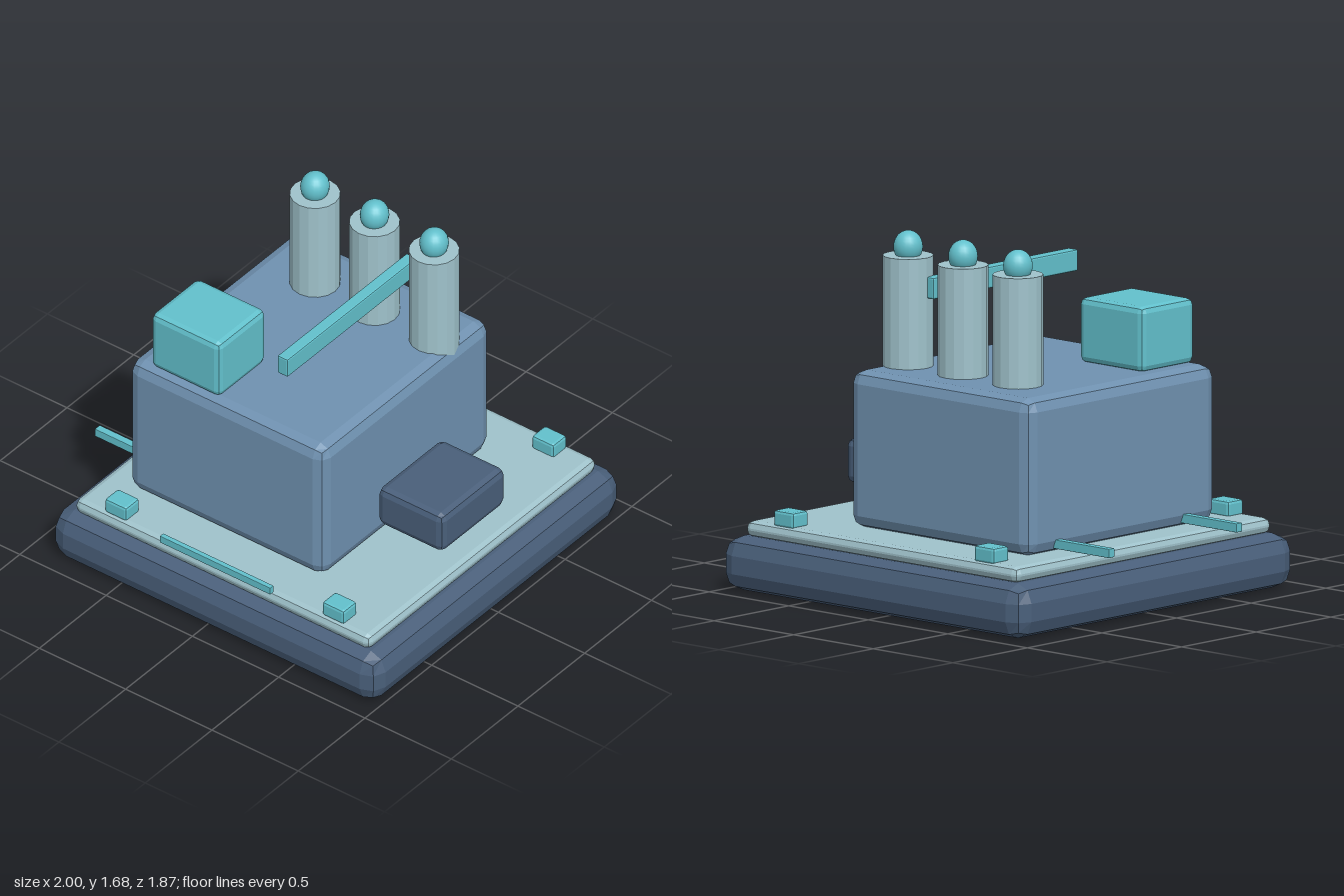
import * as THREE from 'three';
import { RoundedBoxGeometry } from 'three/addons/geometries/RoundedBoxGeometry.js';

function material(name, color, flatShading = true) {
  const m = new THREE.MeshStandardMaterial({ color, flatShading });
  m.name = name;
  return m;
}

export function createModel() {
  const model = new THREE.Group();
  model.name = 'machineBlock';
  const navy = material('navy', 0x495f7a);
  const blue = material('steelBlue', 0x6f91b0);
  const pale = material('paleBlue', 0x9fc2cb);
  const teal = material('teal', 0x62c0cc);
  teal.flatShading = false;

  const add = (name, geometry, mat, x, y, z) => {
    const mesh = new THREE.Mesh(geometry, mat);
    mesh.name = name;
    mesh.position.set(x, y, z);
    model.add(mesh);
    return mesh;
  };

  // Bevelled box given by its extents; non-indexed so each bevel band stays flat
  const block = (name, mat, [x0, x1], [y0, y1], [z0, z1], bevel) => {
    const g = new RoundedBoxGeometry(x1 - x0, y1 - y0, z1 - z0, 1, bevel).toNonIndexed();
    g.computeVertexNormals();
    return add(name, g, mat, (x0 + x1) / 2, (y0 + y1) / 2, (z0 + z1) / 2);
  };

  // Stacked base, plate and main body
  block('base', navy, [-0.89, 1.0], [0, 0.255], [-0.94, 0.93], 0.085);
  block('plate', pale, [-0.80, 0.91], [0.25, 0.325], [-0.86, 0.855], 0.033);
  block('body', blue, [-0.665, 0.47], [0.32, 1.055], [-0.635, 0.63], 0.06);

  // Side box and roof details
  block('sideBox', navy, [0.485, 0.865], [0.42, 0.63], [-0.235, 0.247], 0.035);
  block('roofBox', teal, [-0.56, -0.16], [1.05, 1.355], [0.238, 0.592], 0.03);
  block('roofBeam', teal, [0.19, 0.25], [1.38, 1.48], [-0.36, 0.61], 0.008);

  // Three columns with egg-shaped caps
  for (const x of [-0.345, 0, 0.345]) {
    add('column', new THREE.CylinderGeometry(0.117, 0.117, 0.6, 16), pale, x, 1.27, -0.365);
    add('columnCap', new THREE.SphereGeometry(1, 20, 14), teal, x, 1.61, -0.365)
      .scale.set(0.067, 0.075, 0.07);
  }

  // Corner studs on the plate
  for (const x of [-0.575, 0.685]) {
    for (const z of [-0.788, 0.783]) {
      block('cornerStud', teal, [x - 0.064, x + 0.064], [0.315, 0.393], [z - 0.051, z + 0.051], 0.014);
    }
  }

  // Rods out of the right side, and the front rail
  for (const z of [-0.435, 0.42]) {
    block('sideRod', teal, [-1.0, -0.64], [0.342, 0.384], [z - 0.019, z + 0.019], 0.003);
  }
  block('frontRail', teal, [-0.265, 0.375], [0.358, 0.396], [0.876, 0.902], 0.003);

  return model;
}
